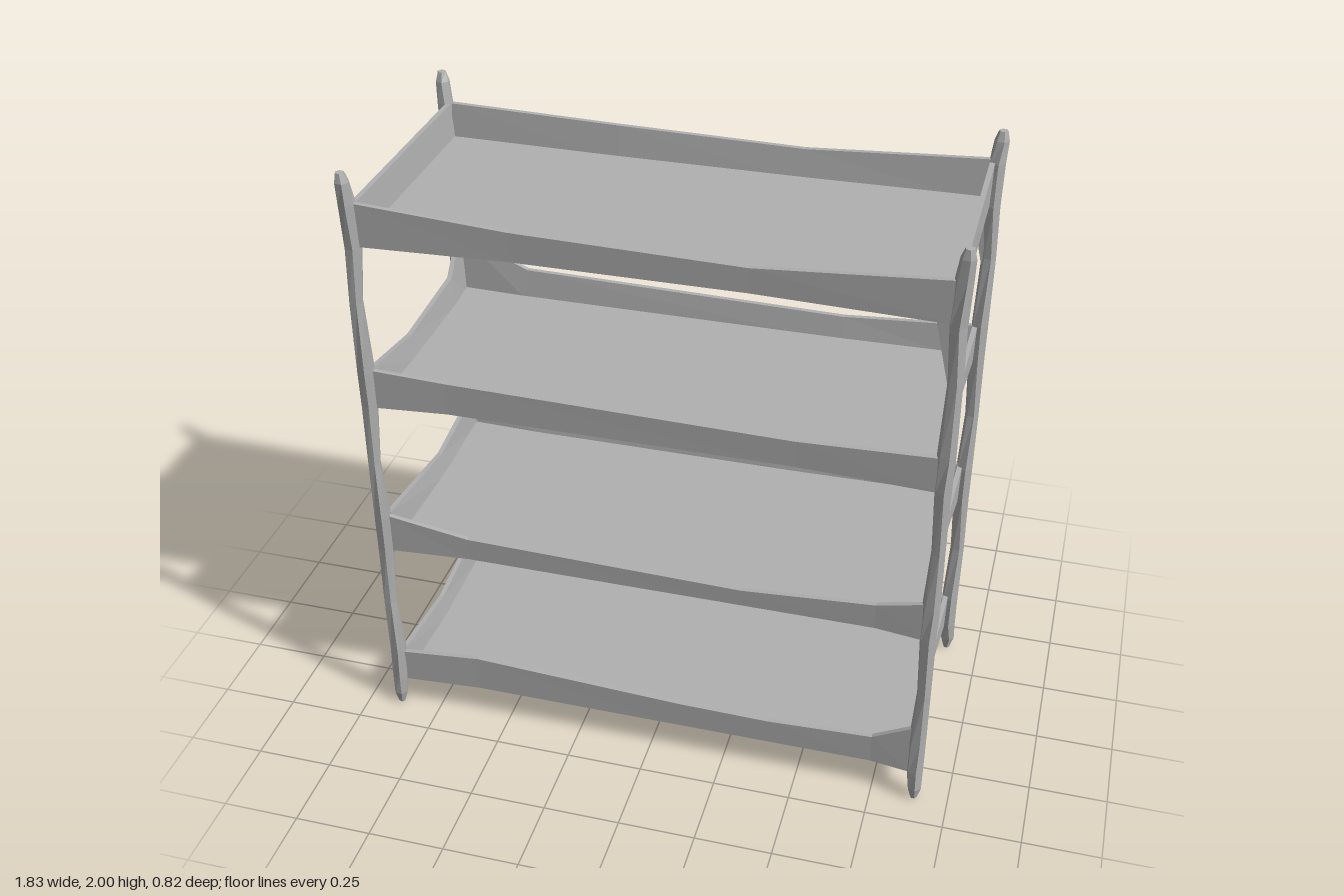
import * as THREE from 'three';

const metal = new THREE.MeshStandardMaterial({ color: 0xb0b0b0, flatShading: true });
metal.name = 'grey metal';

// Solid skinned over equal-sized rings, each counter-clockwise about the direction of travel
function loft(rings) {
  const n = rings[0].length, index = [];
  for (let r = 0; r < rings.length - 1; r++) {
    for (let i = 0; i < n; i++) {
      const a = r * n + i, b = r * n + (i + 1) % n;
      index.push(a, b, b + n, a, b + n, a + n);
    }
  }
  const end = (rings.length - 1) * n;
  for (let i = 1; i < n - 1; i++) index.push(0, i + 1, i, end, end + i, end + i + 1);
  const g = new THREE.BufferGeometry();
  g.setAttribute('position', new THREE.Float32BufferAttribute(rings.flat(2), 3));
  g.setIndex(index);
  g.computeVertexNormals();
  return g;
}

function add(parent, name, geometry) {
  const mesh = new THREE.Mesh(geometry, metal);
  mesh.name = name;
  parent.add(mesh);
  return mesh;
}

// Uneven rim, facing +z before turning; profile holds [distance along, top height]
function rim(parent, name, profile, base, offset, turn) {
  const last = profile.length - 1;
  const rings = profile.map(([x, top], i) => {
    const atEnd = i === 0 || i === last;
    const out = offset + (atEnd ? 0.008 : 0);
    const low = base - (atEnd ? 0.01 : 0);
    return [[x, low, out - 0.028], [x, top, out - 0.016], [x, top, out], [x, low, out - 0.003]];
  });
  add(parent, name, loft(rings)).rotation.y = turn;
}

// Rim profiles of each shelf, listed from left to right as seen from outside
const shelves = [
  { base: 0.12,
    front: [[-0.87, 0.23], [-0.6, 0.25], [0.1, 0.215], [0.4, 0.21], [0.74, 0.225], [0.87, 0.3]],
    back: [[-0.87, 0.23], [-0.4, 0.21], [0.75, 0.22], [0.87, 0.25]],
    right: [[-0.37, 0.23], [-0.14, 0.205], [0.2, 0.225], [0.37, 0.25]],
    left: [[-0.37, 0.25], [0.05, 0.205], [0.37, 0.23]] },
  { base: 0.67,
    front: [[-0.87, 0.8], [-0.6, 0.75], [0.3, 0.73], [0.72, 0.76], [0.87, 0.8]],
    back: [[-0.87, 0.8], [-0.35, 0.765], [0.2, 0.795], [0.6, 0.765], [0.87, 0.8]],
    right: [[-0.37, 0.8], [-0.08, 0.755], [0.2, 0.77], [0.37, 0.8]],
    left: [[-0.37, 0.79], [-0.05, 0.755], [0.37, 0.8]] },
  { base: 1.22,
    front: [[-0.87, 1.345], [-0.63, 1.33], [0.45, 1.31], [0.87, 1.33]],
    back: [[-0.87, 1.335], [-0.45, 1.31], [0.63, 1.33], [0.87, 1.43]],
    right: [[-0.37, 1.35], [0.1, 1.31], [0.37, 1.34]],
    left: [[-0.37, 1.43], [-0.25, 1.33], [0.1, 1.31], [0.37, 1.345]] },
  { base: 1.775,
    front: [[-0.87, 1.905], [-0.4, 1.87], [0.3, 1.855], [0.87, 1.9]],
    back: [[-0.87, 1.91], [-0.3, 1.88], [0.3, 1.89], [0.87, 1.9]],
    right: [[-0.37, 1.9], [0.37, 1.905]],
    left: [[-0.37, 1.9], [0.37, 1.9]] },
];

function makeShelf({ base, front, back, right, left }, number) {
  const shelf = new THREE.Group();
  shelf.name = 'shelf' + number;
  const floor = add(shelf, 'shelfFloor', new THREE.BoxGeometry(1.73, 0.016, 0.75));
  floor.position.y = base + 0.008;
  rim(shelf, 'frontRim', front, base, 0.385, 0);
  rim(shelf, 'backRim', back, base, 0.385, Math.PI);
  rim(shelf, 'rightRim', right, base, 0.872, Math.PI / 2);
  rim(shelf, 'leftRim', left, base, 0.872, -Math.PI / 2);
  return shelf;
}

// Post outline: [height, radius, lean towards the shelves]
const postRings = [
  [0.005, 0.011, 0], [0.05, 0.024, 0], [0.12, 0.028, 0.004], [0.24, 0.028, 0.005],
  [0.45, 0.023, -0.001], [0.67, 0.027, 0.004], [0.79, 0.028, 0.004], [1.0, 0.022, -0.001],
  [1.22, 0.027, 0.004], [1.34, 0.028, 0.004], [1.58, 0.023, 0], [1.76, 0.028, 0.008],
  [1.9, 0.027, 0.004], [1.97, 0.023, -0.002], [2.0, 0.014, -0.004],
];

function makePost(sx, sz) {
  return loft(postRings.map(([y, r, lean], k) => {
    const ring = [];
    for (let i = 0; i < 6; i++) {
      const a = i * Math.PI / 3 + 0.3 + 0.12 * Math.sin(k * 2 + sx + sz);
      ring.push([sx * (0.89 - lean) + r * Math.sin(a), y, sz * (0.388 - lean) + r * Math.cos(a)]);
    }
    return ring;
  }));
}

export function createModel() {
  const model = new THREE.Group();
  model.name = 'shelvingUnit';
  shelves.forEach((s, i) => model.add(makeShelf(s, i + 1)));
  for (const sx of [-1, 1]) {
    for (const sz of [-1, 1]) {
      add(model, (sz > 0 ? 'front' : 'back') + (sx > 0 ? 'Left' : 'Right') + 'Post', makePost(sx, sz));
    }
  }
  // Small brace under the top shelf at both posts on one side
  for (const sz of [-1, 1]) {
    const ring = z => [[0.82, 1.775, z], [0.87, 1.56, z], [0.885, 1.775, z]];
    add(model, 'cornerBrace', loft([ring(sz * 0.375 - 0.008), ring(sz * 0.375 + 0.008)]));
  }
  return model;
}
